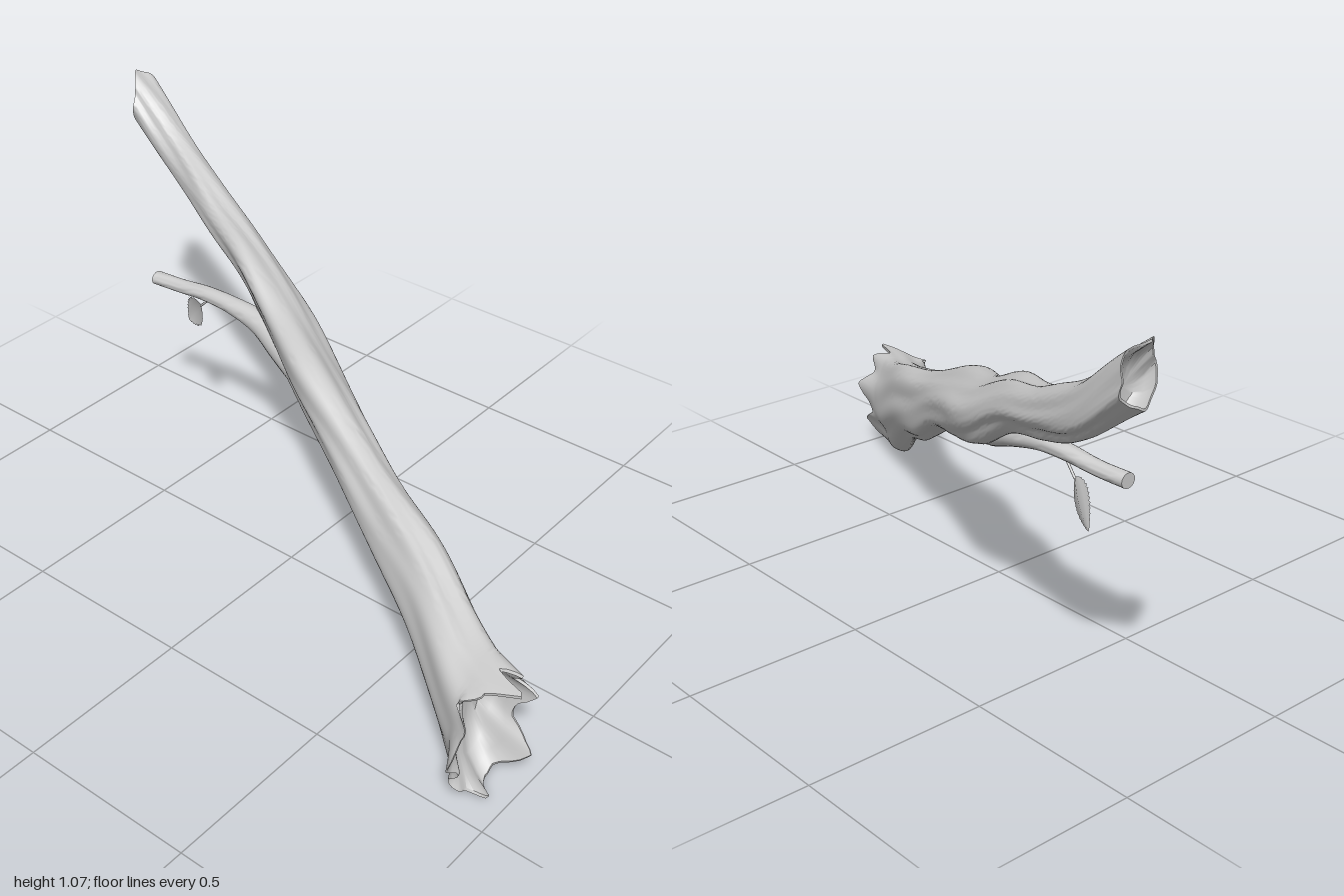
import * as THREE from 'three';
import { toCreasedNormals } from 'three/addons/utils/BufferGeometryUtils.js';

const material = new THREE.MeshStandardMaterial({ color: 0xcccccc, side: THREE.DoubleSide });

// Joins rings of points into one skin; a ring is a function of the angle (0 = up, 90 degrees = front).
function skin(rings, sides) {
  const pos = [], idx = [];
  rings.forEach((ring, i) => {
    for (let j = 0; j <= sides; j++) {
      pos.push(...ring((j % sides) / sides * Math.PI * 2));
      if (i && j) {
        const d = i * (sides + 1) + j, c = d - 1, b = d - sides - 1, a = b - 1;
        idx.push(a, b, c, b, d, c);
      }
    }
  });
  const geo = new THREE.BufferGeometry();
  geo.setAttribute('position', new THREE.Float32BufferAttribute(pos, 3));
  geo.setIndex(idx);
  return toCreasedNormals(geo, 0.9);
}

// Stations [x, centre y, centre z, half height, half depth] become a smooth sampler.
function limb(stations) {
  const centre = new THREE.CatmullRomCurve3(stations.map(s => new THREE.Vector3(s[0], s[1], s[2])), false, 'catmullrom');
  const radii = new THREE.CatmullRomCurve3(stations.map(s => new THREE.Vector3(s[0], s[3], s[4])), false, 'catmullrom');
  return t => ({ c: centre.getPoint(t), r: radii.getPoint(t) });
}

const trunkAt = limb([
  [-0.97, 0.98, -0.475, 0.078, 0.06], [-0.8, 0.845, -0.45, 0.072, 0.052],
  [-0.6, 0.76, -0.382, 0.062, 0.058], [-0.4, 0.70, -0.303, 0.068, 0.062],
  [-0.2, 0.597, -0.225, 0.08, 0.078], [0, 0.533, -0.115, 0.086, 0.084],
  [0.2, 0.457, -0.015, 0.086, 0.076], [0.4, 0.362, 0.08, 0.108, 0.074],
  [0.6, 0.294, 0.178, 0.122, 0.084], [0.8, 0.193, 0.3, 0.152, 0.108],
  [0.91, 0.168, 0.37, 0.165, 0.122],
]);

// Swellings and hollows of the bark: [x, half length, angle, amount]
const swellings = [[-0.34, 0.17, 0.75, 0.33], [-0.1, 0.2, 0.7, 0.26], [0.12, 0.2, 0.75, 0.16],
  [-0.68, 0.09, 0.1, 0.12], [-0.72, 0.22, 3.9, -0.2], [-0.5, 0.16, 3.9, -0.14], [-0.62, 0.15, 0.8, 0.15]];

// Splinters of the broken ends: [angle, width, reach along x, outward flare]
const rightSplinters = [[0.05, 0.3, 0.085, 0.04], [1.57, 0.28, 0.005, 0.4], [-2.15, 0.42, 0.1, 0],
  [-1.2, 0.3, 0.075, 0], [0.75, 0.35, -0.035, 0], [2.2, 0.35, -0.03, -0.03], [-0.55, 0.25, 0.04, 0],
  [3.05, 0.35, 0.035, 0]];
const leftSplinters = [[0, 0.8, -0.035, 0.03], [3.1, 0.8, -0.014, 0], [1.5, 0.5, 0.012, 0.08], [-1.6, 0.5, -0.01, 0]];

const angleGap = (a, b) => Math.abs(Math.atan2(Math.sin(a - b), Math.cos(a - b)));

function splinter(list, a) {
  let reach = list === rightSplinters ? 0.007 * Math.sin(7 * a) + 0.005 * Math.sin(13 * a + 1) : 0;
  let flare = 0;
  for (const [at, width, dx, out] of list) {
    const k = Math.max(0, 1 - angleGap(a, at) / width);
    reach += dx * k;
    flare += out * k;
  }
  return { reach, flare };
}

// Bark relief: twisted ridges plus the swellings
function relief(x, a) {
  let k = 1 + 0.05 * Math.sin(3 * a + 5 * x) + 0.04 * Math.sin(5 * a - 5 * x + 1)
    + 0.022 * Math.sin(9 * a + 6 * x) + 0.025 * Math.sin(17 * x + 2 * a);
  for (const [at, length, angle, amount] of swellings) {
    k += amount * Math.exp(-(((x - at) / length) ** 2) - (angleGap(a, angle) / 0.5) ** 2);
  }
  return k;
}

// One bark ring, with the splinters pulled out near the ends
function barkRing(t, scale = 1, broken = 1) {
  const { c, r } = trunkAt(t);
  const list = t > 0.5 ? rightSplinters : leftSplinters;
  const w = broken * Math.pow(Math.max(0, 1 - Math.min(t, 1 - t) / 0.06), 1.5);
  const lean = 0.13 * THREE.MathUtils.smoothstep(c.x, -0.1, 0.5);
  return a => {
    const s = splinter(list, a), k = scale * (relief(c.x, a) + s.flare * w);
    return [c.x + s.reach * w, Math.max(0, c.y + r.y * k * Math.cos(a)), c.z + r.z * k * Math.sin(a - lean)];
  };
}

function makeTrunk() {
  const rings = [];
  // Hollow at the thin end
  rings.push(barkRing(0.03, 0.001, 0), barkRing(0.028, 0.5, 0), barkRing(0.018, 0.78, 0.6), barkRing(0, 0.92));
  // Bark, with closer rings at both ends
  const n = 110;
  for (let i = 0; i <= n; i++) {
    const u = i / n;
    rings.push(barkRing(u - 0.1 * Math.sin(2 * Math.PI * u) / Math.PI));
  }
  // Hollow at the thick end
  rings.push(barkRing(1, 0.95), barkRing(0.975, 0.88, 0.8), barkRing(0.94, 0.78, 0.3),
    barkRing(0.915, 0.5, 0), barkRing(0.91, 0.001, 0));
  const mesh = new THREE.Mesh(skin(rings, 72), material);
  mesh.name = 'trunk';
  return mesh;
}

function makeBranch() {
  // Runs from the cut tip into the inside of the trunk
  const at = limb([
    [-0.695, 0.575, -0.21, 0.02, 0.022], [-0.6, 0.578, -0.216, 0.02, 0.022],
    [-0.5, 0.587, -0.218, 0.022, 0.024], [-0.4, 0.586, -0.216, 0.026, 0.027],
    [-0.3, 0.572, -0.212, 0.035, 0.034], [-0.2, 0.546, -0.187, 0.045, 0.044],
    [-0.08, 0.522, -0.142, 0.044, 0.044], [0.1, 0.492, -0.065, 0.02, 0.02],
  ]);
  const ring = (t, scale) => {
    const { c, r } = at(t);
    return a => [c.x, c.y + r.y * scale * Math.cos(a), c.z + r.z * scale * Math.sin(a)];
  };
  const rings = [ring(0, 0.001), ring(0, 0.95)];
  for (let i = 0; i <= 34; i++) rings.push(ring(i / 34, 1));
  const mesh = new THREE.Mesh(skin(rings, 20), material);
  mesh.name = 'branch';
  return mesh;
}

function makeLeaf() {
  const group = new THREE.Group();
  group.name = 'leaf';
  // Blade: a sheet narrowed to a toothed leaf outline and folded along the midrib
  const blade = new THREE.PlaneGeometry(2, 1, 4, 24);
  const p = blade.attributes.position;
  for (let i = 0; i < p.count; i++) {
    const u = 0.5 - p.getY(i), side = p.getX(i);
    const tooth = Math.round(u * 24) % 2 && Math.abs(side) === 1 ? 0.86 : 1;
    const half = 0.047 * Math.pow(Math.max(0, Math.sin(Math.PI * Math.pow(u, 0.75))), 0.8) * tooth;
    p.setXYZ(i, side * half, u * 0.14, 0.25 * Math.abs(side) * half - 0.03 * u * (1 - u));
  }
  const along = new THREE.Vector3(-0.088, -0.1, -0.038).normalize();
  const face = new THREE.Vector3(-0.3, -0.05, 0.9).projectOnPlane(along).normalize();
  const across = new THREE.Vector3().crossVectors(along, face);
  blade.applyMatrix4(new THREE.Matrix4().makeBasis(across, along, face).setPosition(-0.532, 0.535, -0.224));
  blade.computeVertexNormals();
  const bladeMesh = new THREE.Mesh(blade, material);
  bladeMesh.name = 'leafBlade';
  // Stalk hanging from the branch
  const stalkPath = new THREE.CatmullRomCurve3([
    new THREE.Vector3(-0.49, 0.578, -0.22), new THREE.Vector3(-0.512, 0.553, -0.222),
    new THREE.Vector3(-0.535, 0.531, -0.226),
  ]);
  const stalk = new THREE.Mesh(new THREE.TubeGeometry(stalkPath, 10, 0.0035, 8), material);
  stalk.name = 'leafStalk';
  group.add(bladeMesh, stalk);
  return group;
}

export function createModel() {
  const model = new THREE.Group();
  model.name = 'brokenBranch';
  model.add(makeTrunk(), makeBranch(), makeLeaf());
  return model;
}
